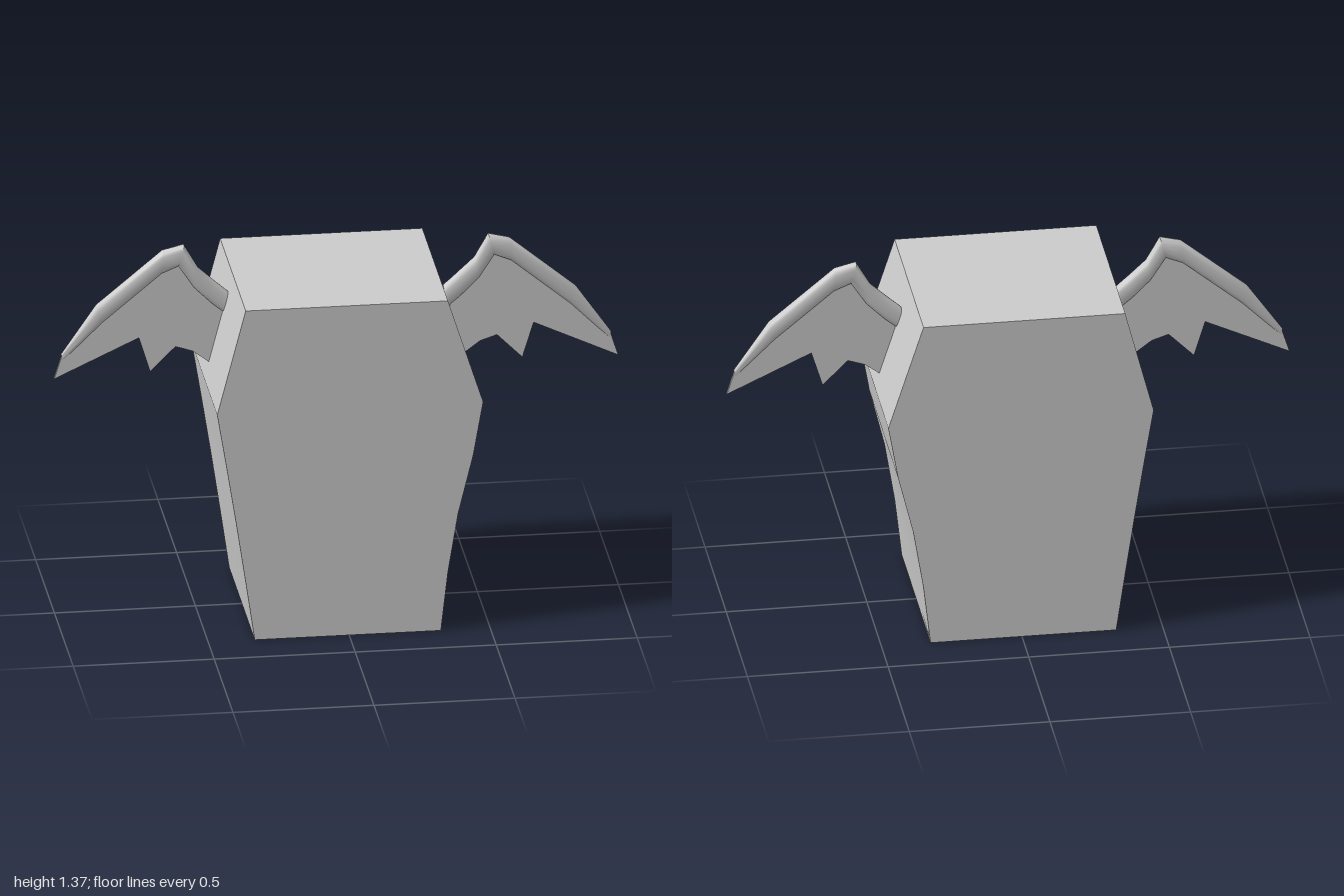
import * as THREE from 'three';
import { toCreasedNormals } from 'three/addons/utils/BufferGeometryUtils.js';

const grey = new THREE.MeshStandardMaterial({ color: 0xcccccc });
const WING_Z = -0.011;

function part(name, geometry) {
  const mesh = new THREE.Mesh(geometry, grey);
  mesh.name = name;
  return mesh;
}

// Flat outline extruded about z = 0
function slab(points, depth) {
  const shape = new THREE.Shape(points.map(([x, y]) => new THREE.Vector2(x, y)));
  return new THREE.ExtrudeGeometry(shape, { depth, bevelEnabled: false }).translate(0, 0, -depth / 2);
}

// Rounded bar lofted between upper and lower edge points: [xUp, yUp, xLow, yLow, halfDepth]
function sparGeometry(sections, sx, dy) {
  const n = 16, pos = [], index = [];
  const round = v => Math.sign(v) * Math.pow(Math.abs(v), 0.75);
  for (const [xu, yu, xl, yl, d] of sections) {
    for (let i = 0; i < n; i++) {
      const a = (i / n) * Math.PI * 2;
      const t = (1 - round(Math.cos(a))) / 2;
      pos.push(sx * (xu + (xl - xu) * t), yu + (yl - yu) * t + dy, d * round(Math.sin(a)));
    }
  }
  const tri = (a, b, c) => (sx > 0 ? index.push(a, b, c) : index.push(a, c, b));
  for (let s = 0; s < sections.length - 1; s++) {
    for (let i = 0; i < n; i++) {
      const a = s * n + i, b = s * n + (i + 1) % n;
      tri(a, b, a + n);
      tri(b, b + n, a + n);
    }
  }
  // End caps
  const last = (sections.length - 1) * n;
  for (let i = 1; i < n - 1; i++) {
    tri(0, i + 1, i);
    tri(last, last + i, last + i + 1);
  }
  const g = new THREE.BufferGeometry();
  g.setAttribute('position', new THREE.Float32BufferAttribute(pos, 3));
  g.setIndex(index);
  return toCreasedNormals(g, 0.7);
}

function createWing(name, sx, dy) {
  const wing = new THREE.Group();
  wing.name = name;
  // Thick leading bar, tapering to the tip
  wing.add(part('wingSpar', sparGeometry([
    [0.38, 1.165, 0.385, 1.08, 0.023],
    [0.425, 1.205, 0.44, 1.125, 0.023],
    [0.49, 1.265, 0.505, 1.19, 0.023],
    [0.54, 1.353, 0.56, 1.275, 0.023],
    [0.615, 1.335, 0.62, 1.25, 0.023],
    [0.85, 1.14, 0.83, 1.075, 0.022],
    [0.975, 0.96, 0.97, 0.935, 0.007],
  ], sx, dy)));
  // Thin scalloped skin below the bar
  const skin = [
    [0.40, 1.12], [0.50, 1.23], [0.55, 1.31], [0.615, 1.29], [0.84, 1.11], [0.973, 0.955], [1, 0.87],
    [0.70, 1.01], [0.66, 0.88], [0.57, 0.97], [0.51, 0.95], [0.45, 0.905], [0.42, 0.905],
  ];
  wing.add(part('wingSkin', slab(skin.map(([x, y]) => [sx * x, y + dy]), 0.012)));
  wing.position.z = WING_Z;
  return wing;
}

export function createModel() {
  const model = new THREE.Group();

  // Casket-shaped body, slightly wider on one side
  const outline = [
    [-0.335, 0], [0.325, 0], [0.35, 0.22], [0.386, 0.44], [0.44, 0.66], [0.475, 0.86],
    [0.35, 1.25], [-0.367, 1.25], [-0.468, 0.86], [-0.435, 0.66], [-0.40, 0.44], [-0.367, 0.22],
  ];
  model.add(part('body', toCreasedNormals(slab(outline, 0.682), 0.3)));

  model.add(createWing('leftWing', 1, 0), createWing('rightWing', -1, 0.016));

  // Tapered strip along the lower left edge
  const strip = new THREE.CylinderGeometry(0.003, 0.013, 0.64, 12).rotateX(Math.PI / 2);
  const edge = part('lowerEdgeStrip', strip);
  edge.position.set(0.318, 0.03, 0);
  const knob = part('stripEnd', new THREE.SphereGeometry(0.013, 12, 8));
  knob.position.set(0.318, 0.03, -0.315);
  model.add(edge, knob);

  return model;
}
